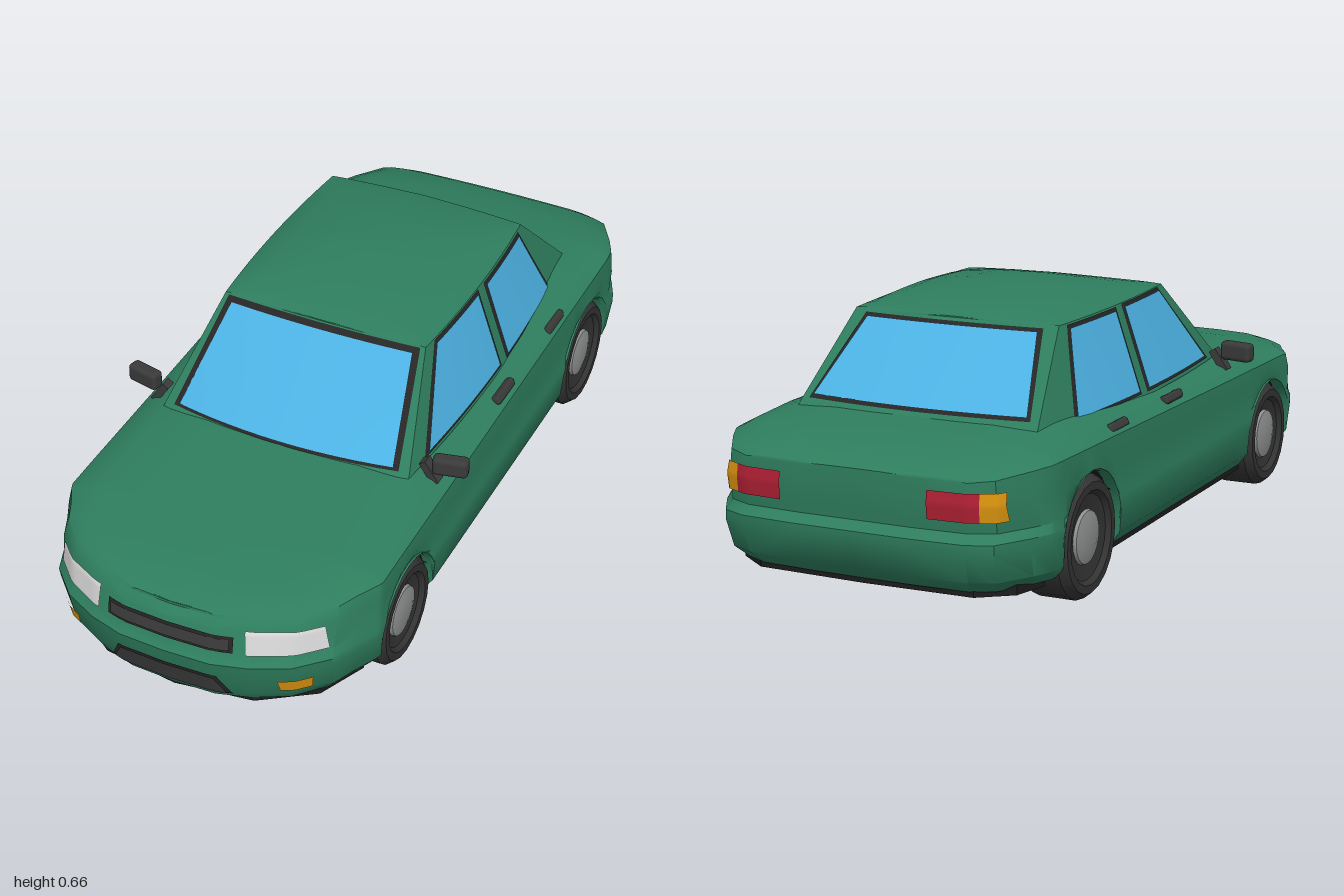
import * as THREE from 'three';
import { toCreasedNormals } from 'three/addons/utils/BufferGeometryUtils.js';
import { RoundedBoxGeometry } from 'three/addons/geometries/RoundedBoxGeometry.js';

const paint = (name, color, side = THREE.FrontSide) =>
  new THREE.MeshStandardMaterial({ name, color, side });
const lerp = THREE.MathUtils.lerp;
const clamp = THREE.MathUtils.clamp;

// piecewise linear lookup in [key, value] rows with rising keys
function lookup(rows, k) {
  if (k <= rows[0][0]) return rows[0][1];
  for (let i = 1; i < rows.length; i++) {
    const [a, va] = rows[i - 1], [b, vb] = rows[i];
    if (k <= b) return lerp(va, vb, (k - a) / (b - a));
  }
  return rows[rows.length - 1][1];
}

// Half plan of the body ends (x, z), wheels, heights along z
const FRONT = [[0, 1], [0.12, 0.995], [0.21, 0.97], [0.3, 0.925], [0.37, 0.855], [0.395, 0.79], [0.425, 0.725]];
const REAR = [[0, -1], [0.15, -1], [0.29, -0.992], [0.35, -0.965], [0.4, -0.88], [0.425, -0.825]];
const WHEELS = [{ z: 0.555, r: 0.14, arch: 0.152 }, { z: -0.61, r: 0.15, arch: 0.163 }];
const SHOULDER = [[-1, 0.35], [-0.95, 0.36], [-0.8, 0.37], [-0.4, 0.362], [0.3, 0.347], [0.6, 0.342], [0.88, 0.335], [1, 0.32]];
const TOP = [[-0.98, 0.355], [-0.94, 0.378], [-0.8, 0.405], [-0.6, 0.43], [-0.4, 0.428], [0, 0.41], [0.4, 0.402], [0.7, 0.375], [0.88, 0.35], [0.95, 0.328]];
const ROOF = [[-0.485, 0.618], [-0.4, 0.64], [-0.3, 0.652], [-0.15, 0.658], [0, 0.648], [0.08, 0.634], [0.15, 0.618]];
// body layers: height, side inset, front inset, rear inset
const LAYERS = [[0.088, 0.03, 0.035, 0.06], [0.12, 0.006, 0.02, 0.025], [0.19, 0, 0.005, 0], [0.215, 0, 0, 0],
  [0.235, 0.006, 0.018, 0.024], [0.3, 0.003, 0.03, 0.018], [0.33, 0.008, 0.05, 0.022]];

function archHeight(z) {
  const w = WHEELS.find(o => Math.abs(z - o.z) < o.arch + 1e-4);
  return w ? w.r + Math.sqrt(Math.max(0, w.arch ** 2 - (z - w.z) ** 2)) : 0;
}

const inset = (X, Z, [, dx, df, dr]) => [X * (1 - dx / 0.43),
  Z - clamp((Math.abs(Z) - 0.6) / 0.25, 0, 1) * (Z > 0 ? df : -dr)];

// Symmetric shell from columns of points running front to back on the left half
function shell(columns, crease) {
  const pos = [];
  for (const s of [1, -1]) {
    const put = (...pts) => (s > 0 ? pts : pts.reverse()).forEach(p => pos.push(s * p[0], p[1], p[2]));
    for (let i = 0; i + 1 < columns.length; i++)
      for (let j = 0; j + 1 < columns[i].length; j++) {
        const a = columns[i][j], b = columns[i + 1][j], c = columns[i + 1][j + 1], d = columns[i][j + 1];
        put(a, b, c);
        put(a, c, d);
      }
  }
  const g = new THREE.BufferGeometry();
  g.setAttribute('position', new THREE.Float32BufferAttribute(pos, 3));
  return toCreasedNormals(g, crease);
}

// Crowned points from an edge point to the centre line
const crown = ([x, y, z], top, steps) =>
  steps.map(([s, k]) => [x * s, y + Math.max(0, lookup(top, z) - y) * k, z]);

function bodyGeometry() {
  const side = [];
  for (const w of WHEELS) {
    side.push(w.z + w.arch + 0.002);
    for (let k = 0; k <= 12; k++) side.push(w.z + w.arch * Math.cos(Math.PI * k / 12));
    side.push(w.z - w.arch - 0.002);
    if (w.z > 0) side.push(0.3, 0.1, -0.1, -0.3);
  }
  const plan = [...FRONT, ...side.map(z => [0.43, z]), ...[...REAR].reverse()];
  return shell(plan.map(([X, Z]) => {
    const col = LAYERS.map((L, j) => {
      const [x, z] = inset(X, Z, L);
      return [x, j === 6 ? lookup(SHOULDER, Z) : Math.max(L[0], archHeight(Z)), z];
    });
    return [...col, ...crown(col[6], TOP, [[0.92, 0.45], [0.8, 0.75], [0.5, 0.93], [0, 1]])];
  }), 0.6);
}

// Point on the nose (dir 1) or tail (dir -1)
function bodyEnd(dir) {
  return (x, y) => {
    const [dx, df, dr] = [1, 2, 3].map(c => lookup(LAYERS.map(L => [L[0], L[c]]), y));
    const X = Math.abs(x) / (1 - dx / 0.43);
    return new THREE.Vector3(x, y, inset(X, lookup(dir > 0 ? FRONT : REAR, X), [0, dx, df, dr])[1]);
  };
}

// Cabin: ruled between a base ring and a roof ring
const Y0 = 0.39, Y1 = 0.615;
const baseX = z => 0.367 - 0.12 * (z + 0.1) ** 2;
const roofX = z => 0.29 - 0.15 * (z + 0.15) ** 2;
const sideRule = t => [0.37 - 1.07 * t, 0.14 - 0.61 * t];
const endRule = (u, dir) => dir > 0
  ? [[baseX(0.37) * u, 0.41 - 0.04 * u * u], [roofX(0.14) * u, 0.15 - 0.01 * u * u]]
  : [[baseX(-0.7) * u, -0.73 + 0.03 * u * u], [roofX(-0.47) * u, -0.485 + 0.015 * u * u]];

function cabinGeometry() {
  const rules = [];
  for (let i = 0; i < 6; i++) rules.push(endRule(i / 6, 1));
  for (let i = 0; i <= 12; i++) {
    const [zb, zt] = sideRule(i / 12);
    rules.push([[baseX(zb), zb], [roofX(zt), zt]]);
  }
  for (let i = 5; i >= 0; i--) rules.push(endRule(i / 6, -1));
  return shell(rules.map(([b, t]) => {
    const edge = [t[0], Y1, t[1]];
    return [[b[0], Y0, b[1]], edge, ...crown(edge, ROOF, [[0.9, 0.35], [0.76, 0.62], [0.4, 0.92], [0, 1]])];
  }), 0.5);
}

function cabinSide(z, y) {
  const v = (y - Y0) / (Y1 - Y0);
  const [zb, zt] = sideRule((lerp(0.37, 0.14, v) - z) / lerp(1.07, 0.61, v));
  return new THREE.Vector3(lerp(baseX(zb), roofX(zt), v), y, z);
}

const cabinEnd = dir => (x, y) => {
  const v = (y - Y0) / (Y1 - Y0);
  const [b, t] = endRule(1, dir);
  const [[, zb], [, zt]] = endRule(x / lerp(b[0], t[0], v), dir);
  return new THREE.Vector3(x, y, lerp(zb, zt, v));
};

// Thin skin on a surface; corners run counter-clockwise as seen from outside
function panel(fn, [bl, br, tr, tl], lift, n = 12) {
  const g = new THREE.PlaneGeometry(1, 1, n, n), p = g.attributes.position, e = 1e-3;
  const flip = Math.sign(br[0] - bl[0]);
  for (let i = 0; i < p.count; i++) {
    const u = p.getX(i) + 0.5, v = p.getY(i) + 0.5;
    const a = lerp(lerp(bl[0], br[0], u), lerp(tl[0], tr[0], u), v);
    const b = lerp(lerp(bl[1], br[1], u), lerp(tl[1], tr[1], u), v);
    const q = fn(a, b);
    const normal = fn(a + e, b).sub(q).cross(fn(a, b + e).sub(q)).normalize();
    q.addScaledVector(normal, lift * flip);
    p.setXYZ(i, q.x, q.y, q.z);
  }
  g.computeVertexNormals();
  return g;
}

// Reflected copy in x with corner order restored
function mirrored(geo) {
  const g = geo.index ? geo.toNonIndexed() : geo.clone();
  g.scale(-1, 1, 1);
  for (const a of [g.attributes.position, g.attributes.normal])
    for (let i = 0; i < a.count; i += 3) {
      const b = [a.getX(i + 1), a.getY(i + 1), a.getZ(i + 1)];
      a.setXYZ(i + 1, a.getX(i + 2), a.getY(i + 2), a.getZ(i + 2));
      a.setXYZ(i + 2, ...b);
    }
  return g;
}

export function createModel() {
  const car = new THREE.Group();
  car.name = 'sedan';
  const green = paint('green paint', 0x2e7d5e), glass = paint('window glass', 0x4cb2e3);
  const trim = paint('dark trim', 0x3a3a3a), frame = paint('seal black', 0x262626);
  const under = paint('underbody black', 0x1c1c1c, THREE.DoubleSide), tyre = paint('tyre rubber', 0x333333);
  const metal = paint('hub grey', 0x8e9090), lamp = paint('headlight white', 0xdcdcdc);
  const amber = paint('indicator amber', 0xd9930f), red = paint('tail light red', 0xae2033);

  const add = (name, geo, mat) => {
    const m = new THREE.Mesh(geo, mat);
    m.name = name;
    car.add(m);
  };
  const pair = (name, geo, mat) => {
    add('left' + name, geo, mat);
    add('right' + name, mirrored(geo), mat);
  };

  add('body', bodyGeometry(), green);
  add('cabin', cabinGeometry(), green);

  // Floor with wheel notches
  const half = [[0, 0.958], [0.2, 0.93], [0.33, 0.84], [0.385, 0.715], [0.285, 0.715], [0.285, 0.4], [0.4, 0.4],
    [0.4, -0.445], [0.285, -0.445], [0.285, -0.78], [0.385, -0.78], [0.36, -0.87], [0.28, -0.93], [0, -0.938]];
  const outline = [...half, ...half.slice(1, -1).reverse().map(([x, z]) => [-x, z])];
  const floor = new THREE.ExtrudeGeometry(new THREE.Shape(outline.map(p => new THREE.Vector2(...p))),
    { depth: 0.03, bevelEnabled: false });
  add('floor', floor.rotateX(Math.PI / 2).translate(0, 0.105, 0), under);

  // Windows with dark seals
  const windscreen = [[-0.295, 0.405], [0.295, 0.405], [0.25, 0.6], [-0.25, 0.6]];
  const backlight = [[0.285, 0.432], [-0.285, 0.432], [-0.23, 0.598], [0.23, 0.598]];
  add('windscreenSeal', panel(cabinEnd(1), [[-0.311, 0.4], [0.311, 0.4], [0.265, 0.612], [-0.265, 0.612]], 0.002), frame);
  add('windscreen', panel(cabinEnd(1), windscreen, 0.005), glass);
  add('rearWindowSeal', panel(cabinEnd(-1), [[0.295, 0.425], [-0.295, 0.425], [-0.24, 0.607], [0.24, 0.607]], 0.002), frame);
  add('rearWindow', panel(cabinEnd(-1), backlight, 0.005), glass);
  // cabinSide runs along z, so corners go from the front edge to the rear edge
  pair('FrontWindowSeal', panel(cabinSide, [[0.29, 0.398], [-0.148, 0.398], [-0.148, 0.613], [0.1, 0.613]], 0.002), frame);
  pair('FrontWindow', panel(cabinSide, [[0.268, 0.405], [-0.138, 0.405], [-0.138, 0.604], [0.098, 0.604]], 0.005), glass);
  pair('RearWindowSeal', panel(cabinSide, [[-0.182, 0.398], [-0.528, 0.398], [-0.438, 0.611], [-0.182, 0.611]], 0.002), frame);
  pair('RearSideWindow', panel(cabinSide, [[-0.192, 0.405], [-0.513, 0.405], [-0.432, 0.602], [-0.192, 0.602]], 0.005), glass);

  // Nose: grilles and lamps
  const nose = bodyEnd(1), tail = bodyEnd(-1);
  add('grilleFrame', panel(nose, [[-0.165, 0.242], [0.165, 0.242], [0.165, 0.286], [-0.165, 0.286]], 0.003), frame);
  add('grille', panel(nose, [[-0.156, 0.249], [0.156, 0.249], [0.156, 0.279], [-0.156, 0.279]], 0.006), trim);
  add('intakeFrame', panel(nose, [[-0.162, 0.11], [0.162, 0.11], [0.13, 0.176], [-0.13, 0.176]], 0.003), frame);
  add('intake', panel(nose, [[-0.15, 0.116], [0.15, 0.116], [0.122, 0.17], [-0.122, 0.17]], 0.006), trim);
  pair('Headlight', panel(nose, [[0.195, 0.241], [0.357, 0.241], [0.347, 0.302], [0.19, 0.304]], 0.005), lamp);
  pair('FrontIndicator', panel(nose, [[0.268, 0.138], [0.328, 0.138], [0.332, 0.173], [0.264, 0.173]], 0.006), amber);

  // Tail lamps
  pair('TailLight', panel(tail, [[0.312, 0.262], [0.19, 0.262], [0.19, 0.328], [0.312, 0.328]], 0.006), red);
  pair('RearIndicator', panel(tail, [[0.362, 0.262], [0.312, 0.262], [0.312, 0.328], [0.357, 0.328]], 0.006), amber);

  // Mirrors and door handles
  pair('MirrorArm', new THREE.BoxGeometry(0.02, 0.065, 0.03).rotateZ(0.6).translate(0.375, 0.39, 0.315), trim);
  pair('MirrorShell', new RoundedBoxGeometry(0.09, 0.05, 0.038, 2, 0.012).rotateY(0.22).translate(0.425, 0.418, 0.31), trim);
  for (const z of [-0.078, -0.415])
    pair('DoorHandle', new RoundedBoxGeometry(0.026, 0.024, 0.104, 1, 0.008).rotateZ(0.5).translate(0.4, 0.373, z), trim);

  // Wheels and wheel wells
  for (const { z, r, arch } of WHEELS) {
    const spin = pts => toCreasedNormals(
      new THREE.LatheGeometry(pts.map(p => new THREE.Vector2(...p)), 20), 0.5)
      .rotateZ(-Math.PI / 2).translate(0.36, r, z);
    pair('Tyre', spin([[0, -0.066], [r - 0.02, -0.066], [r, -0.046], [r, 0.046], [r - 0.016, 0.066],
      [r - 0.036, 0.066], [r - 0.046, 0.054], [0.066, 0.048]]), tyre);
    pair('Hub', spin([[0.068, 0.044], [0.064, 0.056], [0.04, 0.062], [0, 0.062]]), metal);
    pair('WheelWell', new THREE.CylinderGeometry(arch, arch, 0.125, 20, 1, true, 0, Math.PI)
      .rotateZ(Math.PI / 2).translate(0.3475, r, z), under);
    pair('WellWall', new THREE.CircleGeometry(arch, 20, 0, Math.PI).rotateY(Math.PI / 2).translate(0.285, r, z), under);
  }
  return car;
}
